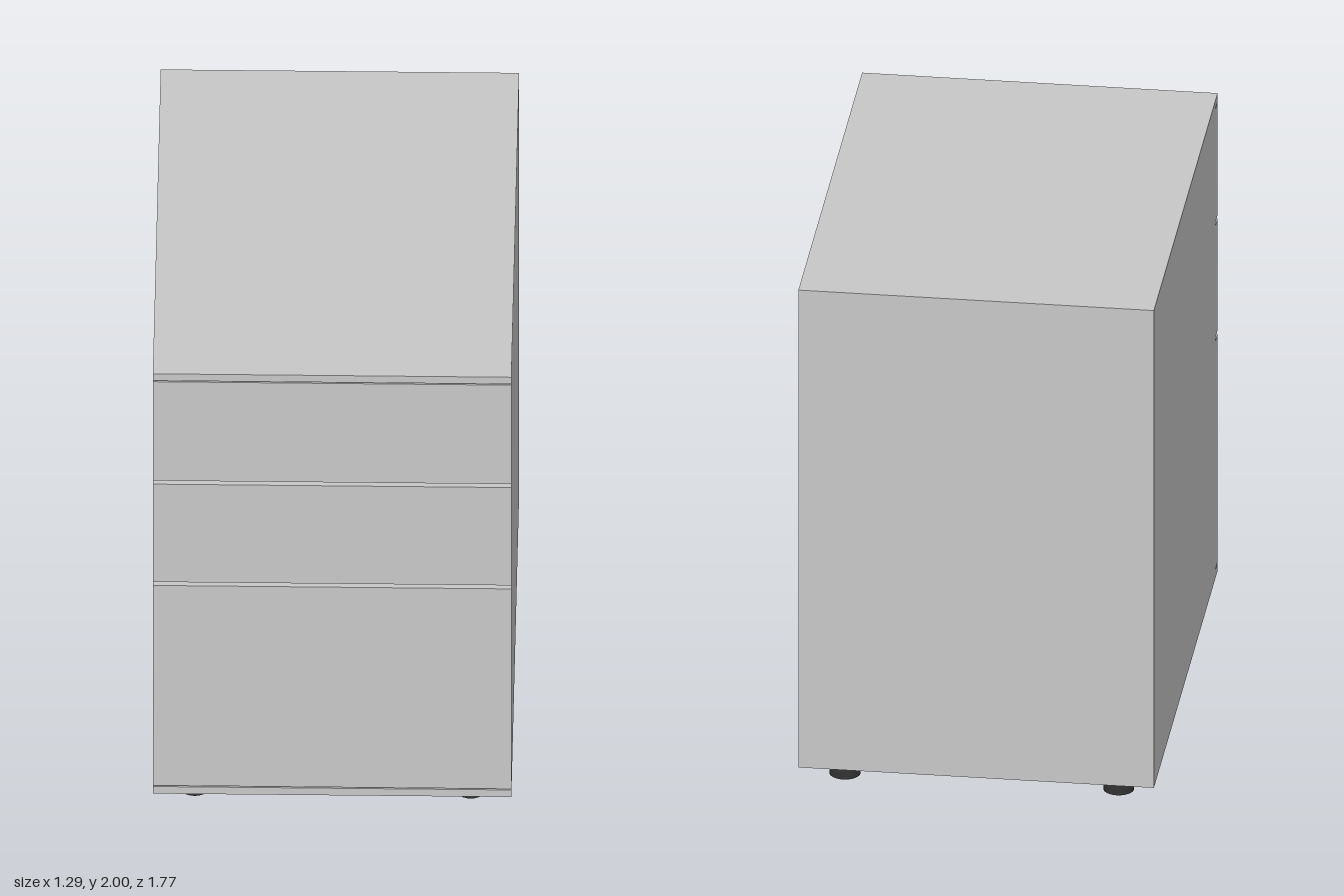
import * as THREE from 'three';

export function createModel() {
  const model = new THREE.Group();
  const paint = new THREE.MeshStandardMaterial({ color: 0xc8c8c8 });
  paint.name = 'light grey paint';
  const rubber = new THREE.MeshStandardMaterial({ color: 0x333333 });
  rubber.name = 'dark rubber';

  const X = 0.643, BACK = -0.887, SEAM = 0.83, FRONT = 0.887;
  const BASE = 0.09, TOP = 2, WALL = 0.023;

  // Box given by its limits on each axis
  function panel(name, [x0, x1], [y0, y1], [z0, z1], parent = model) {
    const mesh = new THREE.Mesh(new THREE.BoxGeometry(x1 - x0, y1 - y0, z1 - z0), paint);
    mesh.position.set((x0 + x1) / 2, (y0 + y1) / 2, (z0 + z1) / 2);
    mesh.name = name;
    parent.add(mesh);
  }

  // Carcass: top and bottom reach the front, the sides stop behind the drawers
  const lowEdge = 0.122, highEdge = 1.969;
  panel('topPanel', [-X, X], [highEdge, TOP], [BACK, FRONT]);
  panel('bottomPanel', [-X, X], [BASE, lowEdge], [BACK, FRONT]);
  panel('leftPanel', [X - WALL, X], [lowEdge, highEdge], [BACK, SEAM]);
  panel('rightPanel', [-X, -X + WALL], [lowEdge, highEdge], [BACK, SEAM]);
  panel('backPanel', [-X + WALL, X - WALL], [lowEdge, highEdge], [BACK, BACK + WALL]);

  // Three drawers: full-width front with a body that fills the bay behind it
  const bays = [lowEdge, 1.045, 1.506, highEdge];
  const fronts = [[0.127, 1.037], [1.053, 1.498], [1.514, 1.964]];
  ['lowerDrawer', 'middleDrawer', 'upperDrawer'].forEach((name, i) => {
    const drawer = new THREE.Group();
    drawer.name = name;
    panel(name + 'Front', [-X, X], fronts[i], [SEAM, FRONT], drawer);
    panel(name + 'Body', [-X + WALL, X - WALL], [bays[i], bays[i + 1]], [BACK + WALL, SEAM], drawer);
    model.add(drawer);
  });

  // Four round feet
  const footGeometry = new THREE.CylinderGeometry(0.056, 0.056, BASE, 24);
  for (const x of [-0.495, 0.495]) {
    for (const z of [-0.727, 0.727]) {
      const foot = new THREE.Mesh(footGeometry, rubber);
      foot.position.set(x, BASE / 2, z);
      foot.name = (z > 0 ? 'front' : 'back') + (x > 0 ? 'Left' : 'Right') + 'Foot';
      model.add(foot);
    }
  }
  return model;
}
